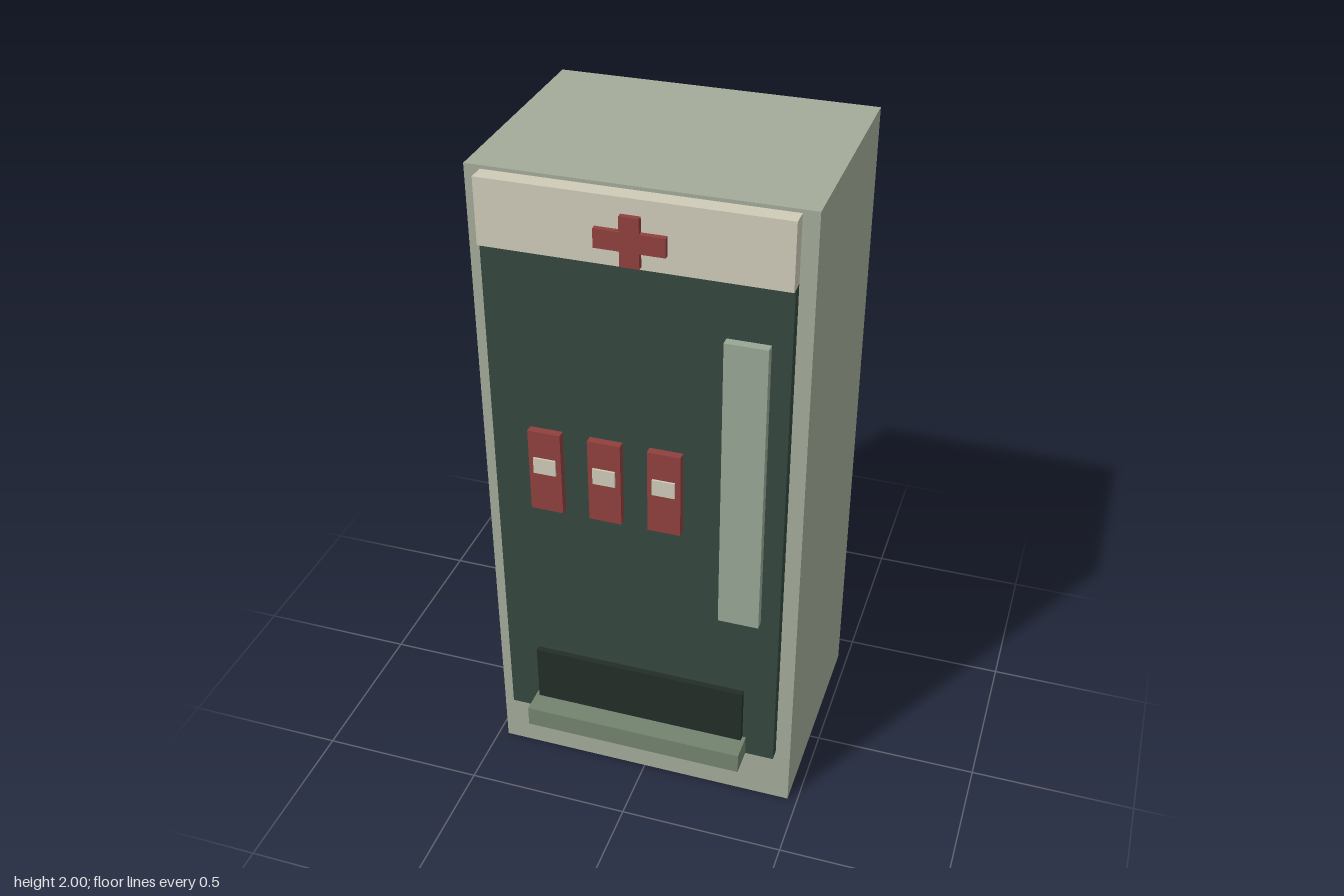
import * as THREE from 'three';

const paint = (color) => new THREE.MeshStandardMaterial({ color });

export function createModel() {
  const model = new THREE.Group();
  model.name = 'vendingMachine';

  const sage = paint(0xa3ab9a);
  const cream = paint(0xcfcbb8);
  const darkGreen = paint(0x34483e);
  const paleGreen = paint(0x98a795);
  const midGreen = paint(0x73836f);
  const black = paint(0x232d28);
  const red = paint(0x8f403d);

  // Box given by its limits on each axis
  const box = (name, material, [x0, x1], [y0, y1], [z0, z1], parent = model) => {
    const mesh = new THREE.Mesh(new THREE.BoxGeometry(x1 - x0, y1 - y0, z1 - z0), material);
    mesh.position.set((x0 + x1) / 2, (y0 + y1) / 2, (z0 + z1) / 2);
    mesh.name = name;
    parent.add(mesh);
    return mesh;
  };

  // Body, front panel and header
  box('cabinet', sage, [-0.47, 0.47], [0, 2], [-0.41, 0.29]);
  box('frontPanel', darkGreen, [-0.425, 0.425], [0.19, 1.797], [0.29, 0.325]);
  box('header', cream, [-0.425, 0.425], [1.797, 1.99], [0.29, 0.34]);

  // Cross on the header, one extruded outline
  const arm = 0.097, rise = 0.07, half = 0.027;
  const outline = [
    [-half, -rise], [half, -rise], [half, -half], [arm, -half], [arm, half], [half, half],
    [half, rise], [-half, rise], [-half, half], [-arm, half], [-arm, -half], [-half, -half],
  ].map(([x, y]) => new THREE.Vector2(x, y));
  const cross = new THREE.Mesh(
    new THREE.ExtrudeGeometry(new THREE.Shape(outline), { depth: 0.018, bevelEnabled: false }), red);
  cross.name = 'cross';
  cross.position.set(0, 1.875, 0.338);
  model.add(cross);

  // Tall side panel
  box('sidePanel', paleGreen, [0.25, 0.37], [0.715, 1.63], [0.325, 0.352]);

  // Row of product packs with labels
  for (const x of [-0.263, -0.087, 0.087]) {
    const pack = new THREE.Group();
    pack.name = 'productPack';
    box('packBody', red, [x - 0.048, x + 0.048], [0.988, 1.25], [0.325, 0.349], pack);
    box('packLabel', cream, [x - 0.033, x + 0.033], [1.115, 1.165], [0.345, 0.355], pack);
    model.add(pack);
  }

  // Pickup slot and its ledge
  box('pickupSlot', black, [-0.327, 0.327], [0.25, 0.44], [0.325, 0.343]);
  box('pickupLedge', midGreen, [-0.338, 0.338], [0.19, 0.255], [0.325, 0.41]);

  return model;
}
